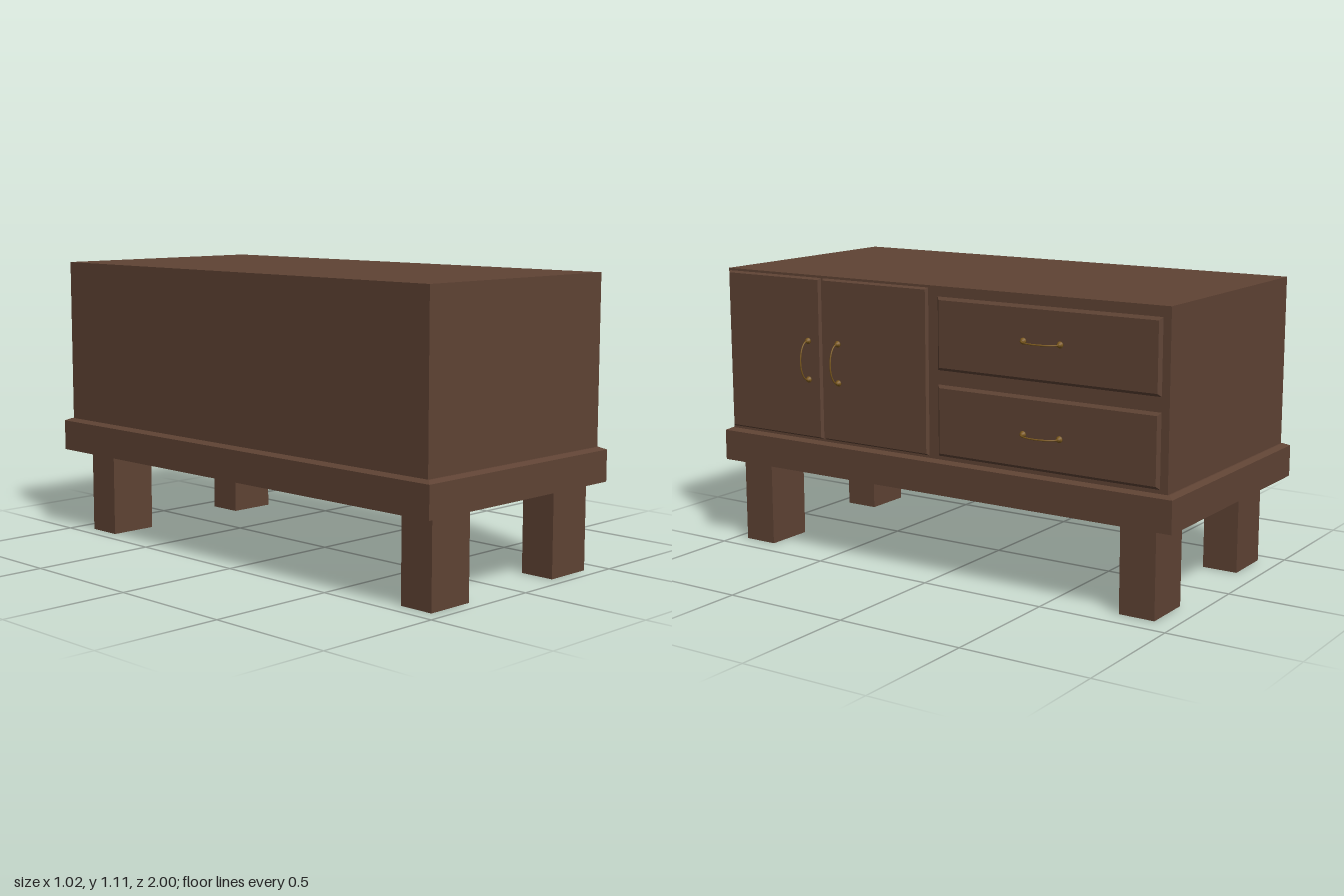
import * as THREE from 'three';

const wood = new THREE.MeshStandardMaterial({ color: 0x5f4334 });
const brass = new THREE.MeshStandardMaterial({ color: 0x7d5a1e });

// Box from min to max corners
function block(name, [x0, y0, z0], [x1, y1, z1]) {
  const geo = new THREE.BoxGeometry(x1 - x0, y1 - y0, z1 - z0);
  geo.translate((x0 + x1) / 2, (y0 + y1) / 2, (z0 + z1) / 2);
  const mesh = new THREE.Mesh(geo, wood);
  mesh.name = name;
  return mesh;
}

// Slab whose top face is pulled inwards to give a chamfered edge
function chamferedSlab(w, h, d, inset) {
  const geo = new THREE.BoxGeometry(w, h, d);
  const p = geo.attributes.position;
  for (let i = 0; i < p.count; i++) {
    if (p.getY(i) < 0) continue;
    p.setX(i, p.getX(i) - Math.sign(p.getX(i)) * inset);
    p.setZ(i, p.getZ(i) - Math.sign(p.getZ(i)) * inset);
  }
  geo.computeVertexNormals();
  return geo;
}

// Chamfered panel standing on the +x face of the cabinet
function panel(name, y0, y1, z0, z1, inset) {
  const x0 = 0.443, x1 = 0.457;
  const geo = chamferedSlab(y1 - y0, x1 - x0, z1 - z0, inset);
  geo.rotateZ(-Math.PI / 2);
  const mesh = new THREE.Mesh(geo, wood);
  mesh.name = name;
  mesh.position.set((x0 + x1) / 2, (y0 + y1) / 2, (z0 + z1) / 2);
  return mesh;
}

// Bow handle: two stepped mounts and a curved bar, upright by default
function handle(name, y, z, horizontal) {
  const group = new THREE.Group();
  group.name = name;
  const half = 0.075;
  const profile = [[0, 0], [0.012, 0], [0.012, 0.006], [0.007, 0.009], [0.007, 0.015], [0, 0.015]]
    .map(([r, h]) => new THREE.Vector2(r, h));
  for (const side of [-1, 1]) {
    const mount = new THREE.Mesh(new THREE.LatheGeometry(profile, 14).rotateZ(-Math.PI / 2), brass);
    mount.name = 'handleMount';
    mount.position.y = side * half;
    group.add(mount);
  }
  const points = [];
  for (let i = 0; i <= 12; i++) {
    const a = -Math.PI / 2 + (Math.PI * i) / 12;
    points.push(new THREE.Vector3(0.01 + 0.041 * Math.cos(a), half * Math.sin(a), 0));
  }
  const bar = new THREE.Mesh(
    new THREE.TubeGeometry(new THREE.CatmullRomCurve3(points), 32, 0.0028, 8), brass);
  bar.name = 'handleBar';
  group.add(bar);
  group.position.set(0.456, y, z);
  if (horizontal) group.rotation.x = Math.PI / 2;
  return group;
}

export function createModel() {
  const model = new THREE.Group();
  model.name = 'sideboard';

  // Cabinet body
  model.add(block('body', [-0.49, 0.46, -0.972], [0.446, 1.105, 0.972]));

  // Plinth with chamfered top edge
  model.add(block('plinth', [-0.515, 0.335, -1], [0.468, 0.455, 1]));
  const trim = new THREE.Mesh(chamferedSlab(0.983, 0.01, 2, 0.022), wood);
  trim.name = 'plinthChamfer';
  trim.position.set(-0.0235, 0.46, 0);
  model.add(trim);

  // Four square legs
  for (const [x0, x1] of [[-0.44, -0.246], [0.22, 0.415]])
    for (const [z0, z1] of [[0.81, 0.948], [-0.915, -0.775]])
      model.add(block('leg', [x0, 0, z0], [x1, 0.336, z1]));

  // Pair of doors
  model.add(panel('leftDoor', 0.472, 1.098, 0.508, 0.971, 0.009));
  model.add(panel('rightDoor', 0.472, 1.098, 0.01, 0.502, 0.009));
  model.add(handle('doorHandle', 0.778, 0.568, false));
  model.add(handle('doorHandle', 0.778, 0.424, false));

  // Two drawers
  for (const [y0, y1, yHandle] of [[0.795, 1.07, 0.94], [0.476, 0.748, 0.607]]) {
    model.add(panel('drawer', y0, y1, -0.945, -0.027, 0.014));
    model.add(handle('drawerHandle', yHandle, -0.478, true));
  }
  return model;
}
